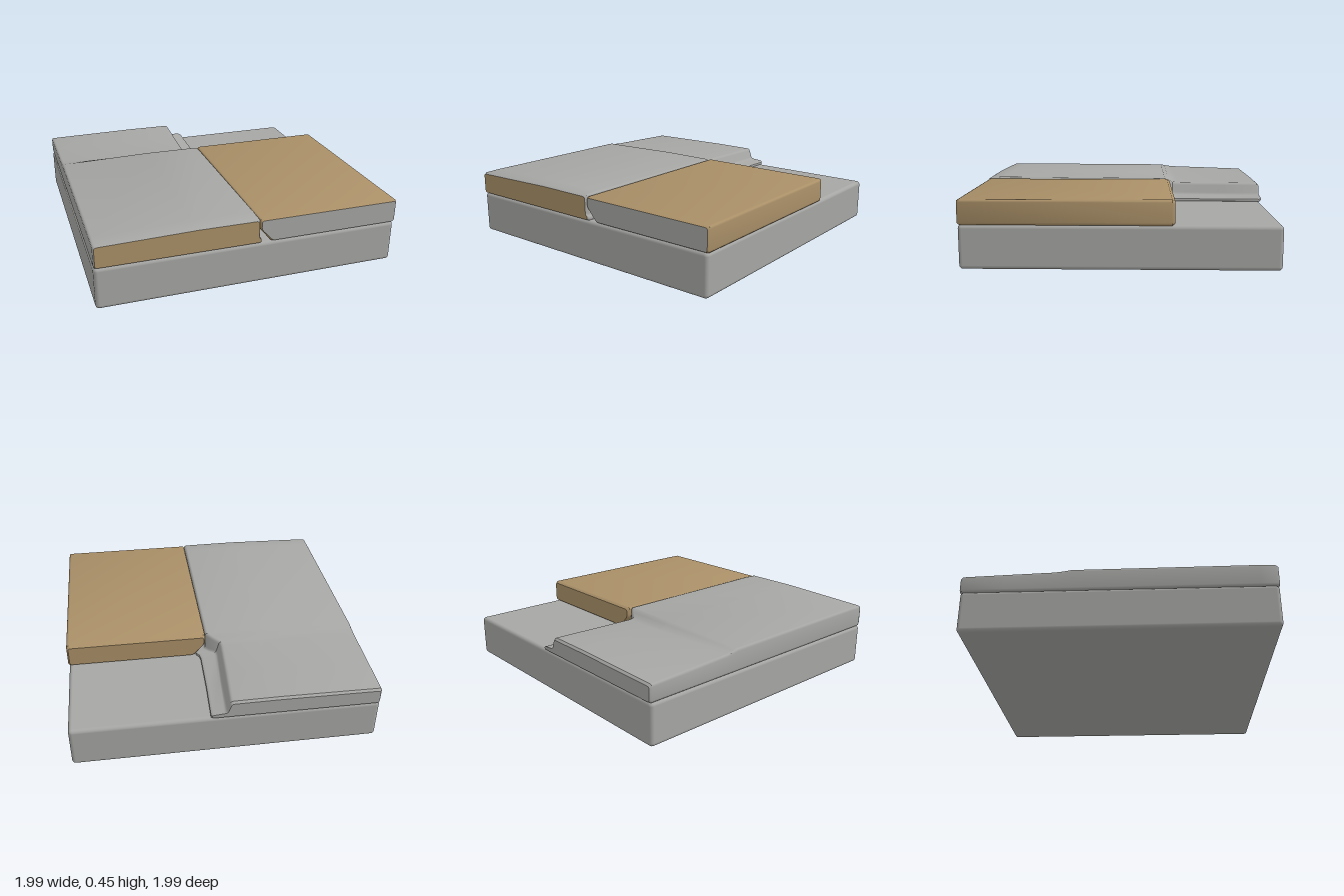
import * as THREE from 'three';
import { toCreasedNormals } from 'three/addons/utils/BufferGeometryUtils.js';
import { RoundedBoxGeometry } from 'three/addons/geometries/RoundedBoxGeometry.js';

const grey = new THREE.MeshStandardMaterial({ name: 'stone grey', color: 0xa6a6a4 });
const tan = new THREE.MeshStandardMaterial({ name: 'sand tan', color: 0xaa9068 });

// Round every corner of a closed outline; point count stays constant
function roundOutline(corners, r, inset = 0) {
  const pts = corners.map(([x, y]) => new THREE.Vector2(x, y));
  const n = pts.length, out = [];
  const mid = new THREE.Box2().setFromPoints(pts);
  const c = mid.getCenter(new THREE.Vector2()), s = mid.getSize(new THREE.Vector2());
  pts.forEach((p, i) => {
    const a = pts[(i + n - 1) % n], b = pts[(i + 1) % n];
    const from = p.clone().lerp(a, Math.min(0.4, r / p.distanceTo(a)));
    const to = p.clone().lerp(b, Math.min(0.4, r / p.distanceTo(b)));
    out.push(...new THREE.QuadraticBezierCurve(from, p, to).getPoints(3));
  });
  return out.map(p => new THREE.Vector2(
    c.x + (p.x - c.x) * (1 - 2 * inset / s.x), c.y + (p.y - c.y) * (1 - 2 * inset / s.y)));
}

function makeMesh(name, pos, index, material) {
  const g = new THREE.BufferGeometry();
  g.setAttribute('position', new THREE.Float32BufferAttribute(pos, 3));
  g.setIndex(index);
  const mesh = new THREE.Mesh(toCreasedNormals(g, 0.6), material);
  mesh.name = name;
  return mesh;
}

// Slab lofted from back to front, with its front face in a second colour
function loftSlab(name, rings, bodyMaterial, frontMaterial) {
  const pos = [], index = [], n = rings[0].outline.length;
  rings.forEach(({ z, outline }) => outline.forEach(p => pos.push(p.x, p.y, z)));
  for (let i = 0; i < rings.length - 1; i++) for (let j = 0; j < n; j++) {
    const k = (j + 1) % n, a = i * n + j, b = i * n + k;
    index.push(a, b, b + n, a, b + n, a + n);
  }
  const back = THREE.ShapeUtils.triangulateShape(rings[0].outline, []);
  back.forEach(([a, b, c]) => index.push(a, c, b));

  const last = rings[rings.length - 1], frontPos = [];
  last.outline.forEach(p => frontPos.push(p.x, p.y, last.z));
  const front = THREE.ShapeUtils.triangulateShape(last.outline, []).flat();

  const group = new THREE.Group();
  group.name = name;
  group.add(makeMesh(name + 'Body', pos, index, bodyMaterial));
  group.add(makeMesh(name + 'Front', frontPos, front, frontMaterial));
  return group;
}

export function createModel() {
  const model = new THREE.Group();
  model.name = 'steppedSlabs';

  // Square base block
  const base = new THREE.Mesh(new RoundedBoxGeometry(1.98, 0.28, 1.98, 4, 0.025), grey);
  base.name = 'base';
  base.position.set(-0.007, 0.143, 0);
  model.add(base);

  // Long slab: z, foot x, ledge x, top edge x, left height, right height, inset
  const stations = [
    [-0.995, 0.1, 0, -0.025, 0.39, 0.395, 0.008],
    [-0.98, 0.1, 0, -0.025, 0.395, 0.4, 0],
    [-0.7, 0.09, -0.01, -0.04, 0.405, 0.4, 0],
    [-0.4, 0.085, -0.03, -0.055, 0.415, 0.4, 0],
    [-0.36, 0.09, -0.025, -0.05, 0.42, 0.405, 0],
    [-0.33, 0.11, 0.02, 0, 0.424, 0.425, 0],
    [-0.3, 0.11, 0.042, 0.04, 0.43, 0.442, 0],
    [0.88, 0.06, 0.042, 0.04, 0.435, 0.45, 0],
    [0.975, 0.055, 0.042, 0.04, 0.432, 0.447, 0],
    [0.993, 0.055, 0.042, 0.04, 0.43, 0.444, 0.008],
  ];
  const longRings = stations.map(([z, foot, ledge, top, hl, hr, inset]) => ({
    z,
    outline: roundOutline([
      [-0.995, 0.28], [foot, 0.28], [foot, 0.305], [ledge, 0.315],
      [top, hr], [-0.35, hr + 0.002], [-0.995, hl],
    ], 0.018, inset),
  }));
  model.add(loftSlab('longSlab', longRings, grey, tan));

  // Raised slab, undercut along its inner lower edge
  const raised = [[0.12, 0.28], [0.99, 0.28], [0.99, 0.44], [0.042, 0.44], [0.042, 0.375]];
  const raisedRings = [[-0.333, 0.012], [-0.315, 0], [0.975, 0], [0.99, 0.008]].map(
    ([z, inset]) => ({ z, outline: roundOutline(raised, 0.018, inset) }));
  model.add(loftSlab('raisedSlab', raisedRings, tan, grey));

  return model;
}
